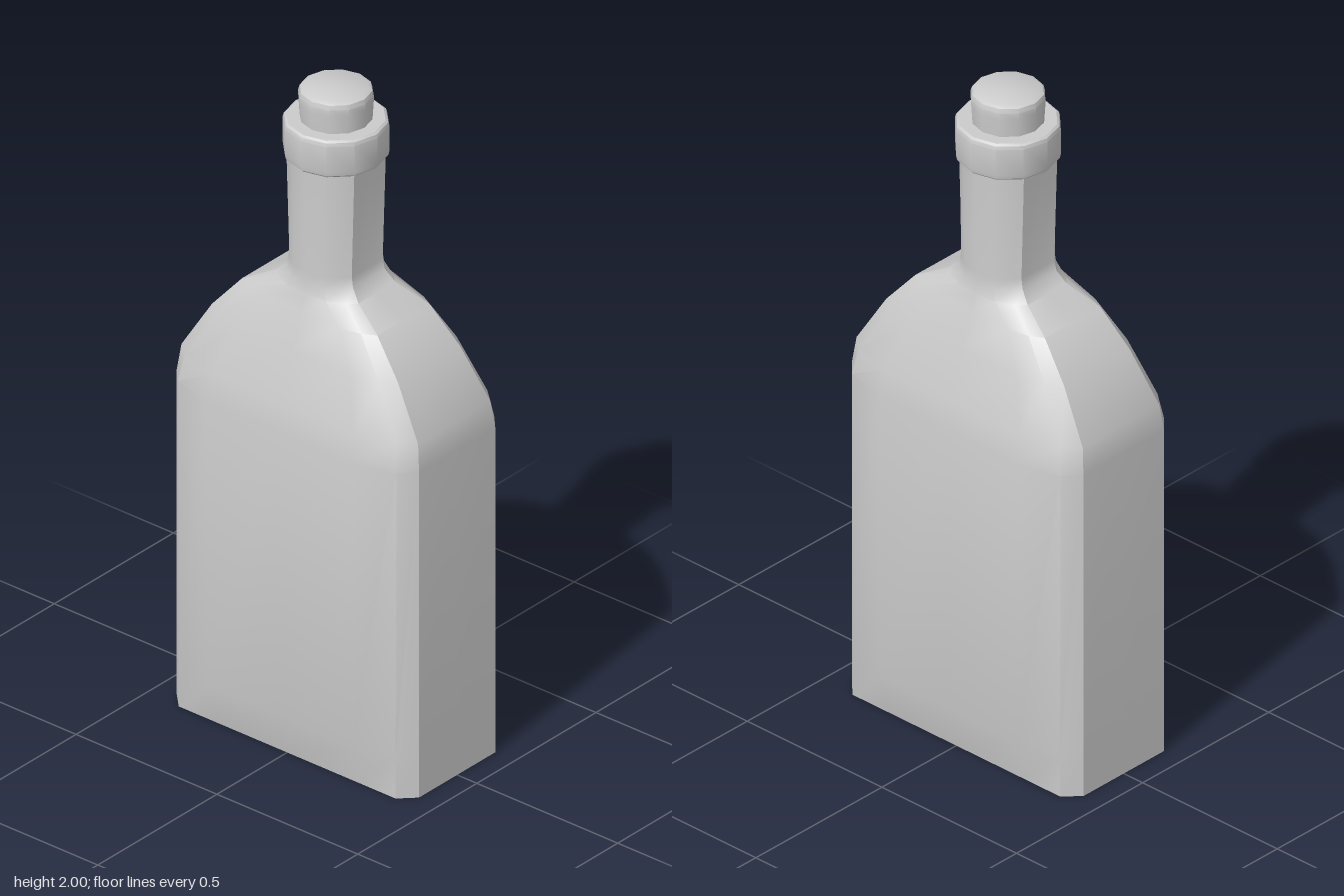
import * as THREE from 'three';
import { toCreasedNormals } from 'three/addons/utils/BufferGeometryUtils.js';

const CREASE = 0.57;

// Glass cross-sections from base to mouth:
// [y, side x, side half-depth, corner x, corner z, face x, face z, centre z]
const SECTIONS = [
  [0, 0.43, 0.16, 0.385, 0.205, 0.26, 0.205, 0.205],
  [0.13, 0.43, 0.16, 0.385, 0.205, 0.26, 0.235, 0.235],
  [1.02, 0.43, 0.16, 0.388, 0.205, 0.26, 0.24, 0.24],
  [1.1, 0.42, 0.152, 0.375, 0.192, 0.25, 0.222, 0.222],
  [1.25, 0.33, 0.13, 0.29, 0.163, 0.2, 0.183, 0.183],
  [1.355, 0.24, 0.11, 0.2, 0.132, 0.135, 0.145, 0.147],
  [1.405, 0.145, 0.077, 0.122, 0.1, 0.07, 0.125, 0.131],
  [1.44, 0.117, 0.067, 0.095, 0.091, 0.055, 0.118, 0.127],
  [1.47, 0.111, 0.065, 0.09, 0.09, 0.053, 0.116, 0.126],
  [1.8, 0.121, 0.066, 0.093, 0.091, 0.055, 0.118, 0.128],
];

// Mirror one quarter of a section into a closed ring
function ring([y, x, zs, xc, zc, xf, zf, z0]) {
  const quarter = [[x, 0], [x, zs], [xc, zc], [xf, zf], [0, z0]];
  const half = [...quarter, ...quarter.slice(0, 4).reverse().map(([a, b]) => [-a, b])];
  const back = half.slice(1, -1).reverse().map(([a, b]) => [a, -b]);
  return [...half, ...back].map(([a, b]) => [a, y, b]);
}

// Skin the rings and close both ends
function loft(sections) {
  const rings = sections.map(ring);
  const n = rings[0].length;
  const last = rings.length - 1;
  const position = rings.flat(2);
  const index = [];
  for (let i = 0; i < last; i++) {
    for (let j = 0; j < n; j++) {
      const a = i * n + j, b = i * n + (j + 1) % n;
      index.push(a, a + n, b, b, a + n, b + n);
    }
  }
  position.push(0, sections[0][0], 0, 0, sections[last][0], 0);
  const base = rings.length * n;
  for (let j = 0; j < n; j++) {
    const k = (j + 1) % n;
    index.push(base, j, k, base + 1, last * n + k, last * n + j);
  }
  const geometry = new THREE.BufferGeometry();
  geometry.setAttribute('position', new THREE.Float32BufferAttribute(position, 3));
  geometry.setIndex(index);
  return geometry;
}

// Twelve-sided turned part
function turned(profile) {
  return new THREE.LatheGeometry(profile.map(([r, y]) => new THREE.Vector2(r, y)), 12);
}

export function createModel() {
  const group = new THREE.Group();
  group.name = 'bottle';
  const material = new THREE.MeshStandardMaterial({ color: 0xcccccc });
  const add = (name, geometry) => {
    const mesh = new THREE.Mesh(toCreasedNormals(geometry, CREASE), material);
    mesh.name = name;
    group.add(mesh);
  };

  // Flat-sided body, shoulders and neck
  add('glassBody', loft(SECTIONS));

  // Thick lip around the mouth
  add('lip', turned([
    [0, 1.79], [0.136, 1.79], [0.144, 1.797], [0.147, 1.81],
    [0.147, 1.89], [0.144, 1.9], [0.137, 1.905], [0, 1.905],
  ]));

  // Stopper with a softened top edge
  add('cork', turned([
    [0, 1.88], [0.099, 1.88], [0.104, 1.96], [0.104, 1.98],
    [0.1, 1.993], [0.088, 2], [0, 2],
  ]));

  return group;
}
